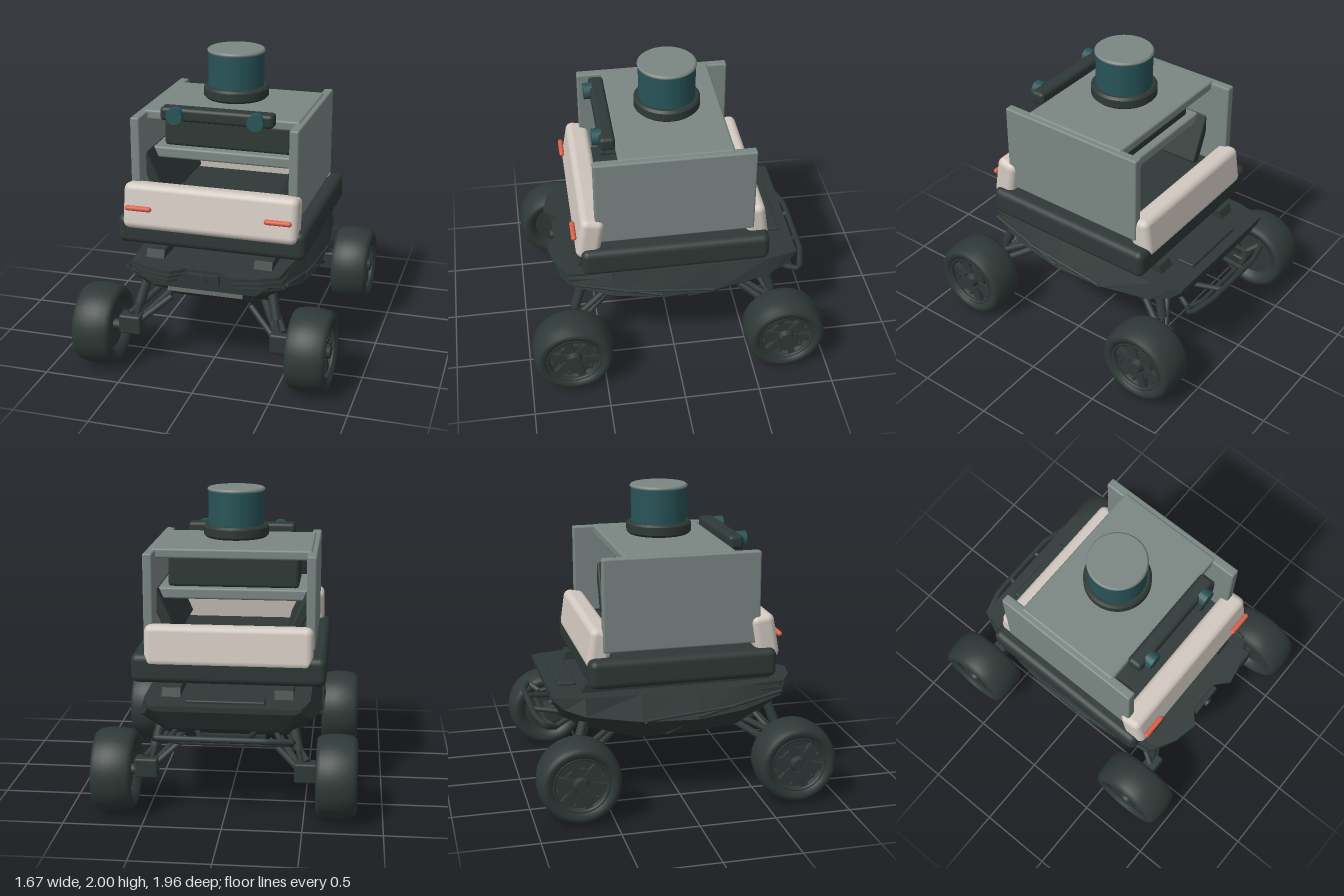
import * as THREE from 'three';
import { RoundedBoxGeometry } from 'three/addons/geometries/RoundedBoxGeometry.js';

const mat = (name, color, side = THREE.FrontSide) => {
  const m = new THREE.MeshStandardMaterial({ color, side });
  m.name = name;
  return m;
};

export function createModel() {
  const root = new THREE.Group();
  root.name = 'roverVehicle';
  const dark = mat('charcoal', 0x2f3937);
  const grey = mat('sageGrey', 0x7b8784);
  const cream = mat('cream', 0xd2c9c1);
  const teal = mat('teal', 0x285458);
  const orange = mat('orange', 0xdc6249);

  const add = (name, geo, m, x = 0, y = 0, z = 0, parent = root) => {
    const mesh = new THREE.Mesh(geo, m);
    mesh.name = name;
    mesh.position.set(x, y, z);
    parent.add(mesh);
    return mesh;
  };
  const rbox = (w, h, d, r) => new RoundedBoxGeometry(w, h, d, 3, r);
  const box = (w, h, d) => new THREE.BoxGeometry(w, h, d);
  const cyl = (r, h, n = 32) => new THREE.CylinderGeometry(r, r, h, n);
  // round rod between two points
  const rod = (name, a, b, r, n = 8) => {
    const p = new THREE.Vector3(...a), d = new THREE.Vector3(...b).sub(p);
    const mesh = add(name, cyl(r, d.length(), n), dark);
    mesh.position.copy(p).addScaledVector(d, 0.5);
    mesh.quaternion.setFromUnitVectors(new THREE.Vector3(0, 1, 0), d.normalize());
    return mesh;
  };
  const tube = (name, pts, r) => add(name, new THREE.TubeGeometry(
    new THREE.CatmullRomCurve3(pts.map(p => new THREE.Vector3(...p)), false, 'catmullrom', 0.1), 32, r, 8), dark);

  // Hull: faceted loft, rows are z, top half width, mid half width, mid y, bottom half width, bottom y
  const sections = [
    [0.74, 0.40, 0.43, 0.67, 0.34, 0.60],
    [0.68, 0.48, 0.52, 0.65, 0.38, 0.57],
    [0.42, 0.52, 0.58, 0.59, 0.40, 0.43],
    [0.10, 0.53, 0.61, 0.56, 0.46, 0.42],
    [-0.27, 0.53, 0.60, 0.57, 0.45, 0.41],
    [-0.63, 0.53, 0.56, 0.62, 0.38, 0.50],
    [-0.76, 0.50, 0.51, 0.66, 0.36, 0.57],
    [-0.83, 0.48, 0.48, 0.72, 0.44, 0.70],
  ];
  const pos = [], idx = [], N = 6;
  sections.forEach(([z, tw, mw, my, bw, by]) => {
    for (const [x, y] of [[tw, 0.735], [-tw, 0.735], [-mw, my], [-bw, by], [bw, by], [mw, my]]) pos.push(x, y, z);
  });
  const last = (sections.length - 1) * N;
  for (let i = 0; i < last; i += N) {
    for (let j = 0; j < N; j++) {
      const k = (j + 1) % N;
      idx.push(i + j, i + N + j, i + N + k, i + j, i + N + k, i + k);
    }
  }
  for (let j = 1; j < N - 1; j++) idx.push(0, j, j + 1, last, last + j + 1, last + j);
  let hull = new THREE.BufferGeometry();
  hull.setAttribute('position', new THREE.Float32BufferAttribute(pos, 3));
  hull.setIndex(idx);
  hull = hull.toNonIndexed();
  hull.computeVertexNormals();
  add('hull', hull, dark);
  add('bellyPlate', box(0.5, 0.02, 0.5), dark, 0, 0.413, 0.17);
  add('rearBellyPlate', box(0.46, 0.02, 0.22), dark, 0, 0.405, -0.31);
  add('skidPlate', box(0.5, 0.03, 0.34), dark, 0, 0.49, 0.56).rotation.x = -0.5;
  add('noseBlock', box(0.22, 0.07, 0.1), dark, 0, 0.68, 0.72);
  add('noseLamp', cyl(0.03, 0.03, 16), dark, 0, 0.685, 0.775).rotation.x = Math.PI / 2;
  add('rearDeckRidge', rbox(0.5, 0.03, 0.12, 0.01), dark, 0, 0.74, -0.7);

  // Layered prow fins, deck rails and flank ribs
  for (const s of [-1, 1]) {
    const fin = new THREE.Shape([[0.07, 0.7], [0.2, 0.82], [0.36, 0.785], [0.49, 0.71], [0.51, 0.5], [0.07, 0.5]]
      .map(([x, z]) => new THREE.Vector2(s * x, z)));
    for (let i = 0; i < 3; i++) {
      const m = add('prowFin', new THREE.ExtrudeGeometry(fin, { depth: 0.02, bevelEnabled: false }), dark,
        s * 0.015 * i, 0.737 - 0.037 * i, -0.015 * i);
      m.rotation.x = Math.PI / 2;
    }
    const rail = new THREE.Shape([[-0.635, 0.73], [0.635, 0.73], [0.61, 0.79], [-0.61, 0.79]]
      .map(p => new THREE.Vector2(...p)));
    add('deckRail', new THREE.ExtrudeGeometry(rail, { depth: 0.12, bevelEnabled: false }), dark,
      s * 0.36 - 0.06).rotation.y = -Math.PI / 2;
    root.children.at(-1).position.x = s * 0.36 + 0.06;
    rod('flankRib', [s * 0.53, 0.68, 0.68], [s * 0.6, 0.575, 0.1], 0.012);
    rod('flankRib', [s * 0.6, 0.575, 0.1], [s * 0.47, 0.43, -0.08], 0.012);
    rod('flankRib', [s * 0.6, 0.57, -0.25], [s * 0.47, 0.43, -0.1], 0.012);
    rod('flankRib', [s * 0.58, 0.62, 0.35], [s * 0.6, 0.575, -0.25], 0.01);
  }

  // Rear tubular bumper
  tube('bumperTube', [[-0.36, 0.5, -0.8], [-0.44, 0.54, -0.87], [-0.25, 0.555, -0.92], [0.25, 0.555, -0.92],
    [0.44, 0.54, -0.87], [0.36, 0.5, -0.8]], 0.02);
  tube('lowerBumperTube', [[-0.36, 0.5, -0.8], [-0.25, 0.51, -0.85], [0.25, 0.51, -0.85], [0.36, 0.5, -0.8]], 0.016);
  for (const s of [-1, 1]) {
    rod('bumperStrut', [s * 0.13, 0.555, -0.92], [s * 0.18, 0.53, -0.7], 0.018);
    rod('bumperStrut', [s * 0.36, 0.5, -0.8], [s * 0.3, 0.56, -0.65], 0.018);
  }

  // Wheels with spoked rims, and their suspension
  const tyreProfile = [[0.16, -0.08], [0.18, -0.115], [0.215, -0.13], [0.24, -0.125], [0.257, -0.1], [0.267, -0.04],
    [0.268, 0], [0.267, 0.04], [0.257, 0.1], [0.24, 0.125], [0.215, 0.13], [0.18, 0.115], [0.17, 0.06]]
    .map(p => new THREE.Vector2(...p));
  const tyre = new THREE.LatheGeometry(tyreProfile, 48);
  for (const s of [-1, 1]) for (const f of [-1, 1]) {
    const wheel = new THREE.Group();
    wheel.name = f > 0 ? 'frontWheel' : 'rearWheel';
    wheel.position.set(s * 0.705, 0.268, f * 0.712);
    wheel.rotation.y = s > 0 ? 0 : Math.PI;
    root.add(wheel);
    const axial = (name, geo, x, y = 0, z = 0) => {
      add(name, geo, dark, x, y, z, wheel).rotation.z = -Math.PI / 2;
    };
    axial('tyre', tyre, 0);
    axial('rimDisc', cyl(0.18, 0.14), -0.01);
    axial('hubRing', cyl(0.105, 0.03), 0.07);
    axial('hubCap', new THREE.CylinderGeometry(0.04, 0.055, 0.05, 24), 0.1);
    add('rimRing', new THREE.TorusGeometry(0.178, 0.014, 8, 40), dark, 0.105, 0, 0, wheel).rotation.y = Math.PI / 2;
    for (let i = 0; i < 6; i++) {
      const a = i * Math.PI / 3 + 0.3;
      add('spoke', box(0.035, 0.13, 0.05), dark, 0.08, Math.cos(a) * 0.12, Math.sin(a) * 0.12, wheel).rotation.x = a;
      axial('wheelBolt', cyl(0.01, 0.03, 8), 0.075, Math.cos(a + 0.52) * 0.15, Math.sin(a + 0.52) * 0.15);
    }
    add('hubCarrier', rbox(0.15, 0.13, 0.1, 0.015), dark, s * 0.51, 0.285, f * 0.7);
    rod('axleStub', [s * 0.45, 0.268, f * 0.712], [s * 0.65, 0.268, f * 0.712], 0.035, 12);
    rod('lowerArm', [s * 0.31, 0.43, f * 0.4], [s * 0.49, 0.27, f * 0.68], 0.025);
    rod('upperArm', [s * 0.36, 0.48, f * 0.42], [s * 0.52, 0.35, f * 0.7], 0.022);
    rod('crossArm', [s * 0.27, 0.45, f * 0.58], [s * 0.46, 0.3, f * 0.7], 0.02);
    rod('shock', [s * 0.41, 0.62, f * 0.6], [s * 0.46, 0.42, f * 0.67], 0.033, 12);
    rod('shockRod', [s * 0.45, 0.45, f * 0.66], [s * 0.49, 0.29, f * 0.7], 0.018);
  }

  // Cargo tray and padded bumpers
  add('tray', rbox(1.25, 0.19, 1.225, 0.045), dark, 0, 0.905, 0.003);
  add('frontPad', rbox(1.155, 0.3, 0.155, 0.045), cream, 0, 1.065, 0.553).rotation.x = -0.17;
  add('rearPad', rbox(1.08, 0.27, 0.145, 0.045), cream, 0, 1.047, -0.53).rotation.x = 0.14;
  for (const s of [-1, 1]) {
    const marker = add('markerLight', new THREE.CapsuleGeometry(0.017, 0.145, 4, 12), orange, s * 0.46, 1.075, 0.655);
    marker.rotation.z = Math.PI / 2;
  }

  // Cabin: side panels, roof, shelf and equipment box
  for (const s of [-1, 1]) {
    add('sidePanel', rbox(0.062, 0.605, 1.03, 0.012), grey, s * 0.521, 1.332, 0.003);
    // slanted slab whose upper edge breaks through the panel as a slot
    const slab = add('slantedSlab', rbox(0.07, 0.35, 0.75, 0.015), dark, s * 0.45, 1.205, 0.025);
    slab.rotation.z = -s * 0.42;
  }
  add('roof', rbox(1.04, 0.065, 0.73, 0.015), grey, 0, 1.612, -0.01);
  add('shelf', rbox(0.99, 0.075, 0.54, 0.015), grey, 0, 1.332, -0.01);
  add('equipmentBox', rbox(0.86, 0.215, 0.44, 0.025), dark, 0, 1.472, -0.015);

  // Light bar
  add('lightBar', rbox(0.745, 0.09, 0.1, 0.025), dark, 0, 1.655, 0.405);
  for (const s of [-1, 1]) {
    add('spotLight', cyl(0.054, 0.06, 20), teal, s * 0.265, 1.655, 0.465).rotation.x = Math.PI / 2;
  }

  // Sensor turret
  const turret = (pts) => new THREE.LatheGeometry(pts.map(p => new THREE.Vector2(...p)), 48);
  add('turretBase', turret([[0, 1.675], [0.2, 1.675], [0.2, 1.675], [0.215, 1.69], [0.215, 1.69], [0.215, 1.742],
    [0.215, 1.742], [0.2, 1.757], [0.2, 1.757], [0, 1.757]]), dark, 0, 0, -0.022);
  add('turretDrum', cyl(0.184, 0.23, 48), teal, 0, 1.866, -0.022);
  add('turretCap', turret([[0, 1.975], [0.182, 1.975], [0.182, 1.975], [0.19, 1.983], [0.19, 1.992], [0.18, 2],
    [0.18, 2], [0, 2]]), grey, 0, 0, -0.022);
  return root;
}
